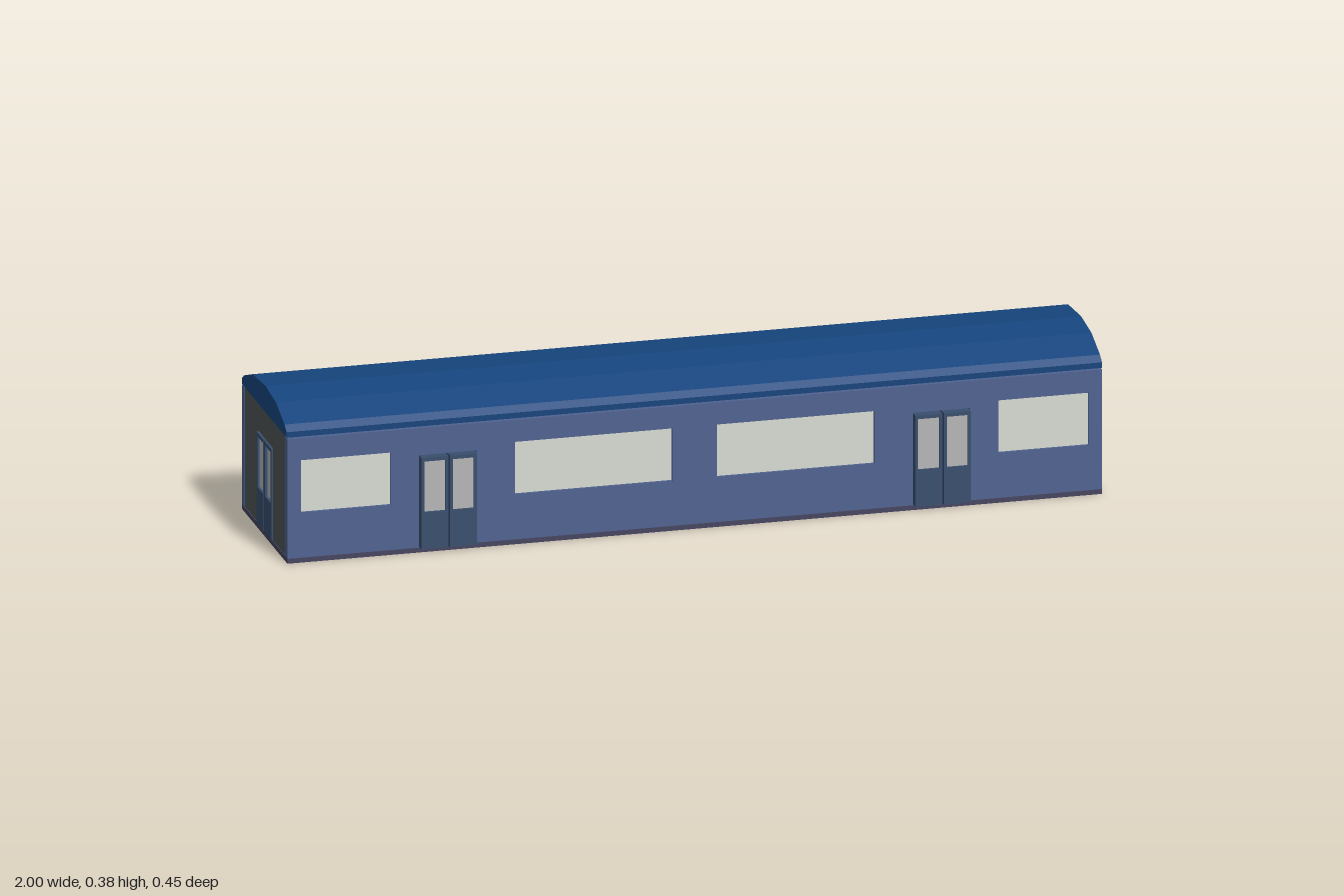
import * as THREE from 'three';

const mat = (color) => new THREE.MeshStandardMaterial({ color, flatShading: true });
const WALL = mat(0x4f6390), DOOR = mat(0x384e6e), ROOF = mat(0x16457e), END = mat(0x4f5656);
const FLOOR = mat(0x46445f), GLASS = mat(0xd8dcd3), DOORGLASS = mat(0xb6b6b6), SEAL = mat(0x202b48);

const FLOOR_TOP = 0.012, WALL_TOP = 0.311, DOOR_TOP = 0.243;

function mesh(name, geometry, material, parent) {
  const m = new THREE.Mesh(geometry, material);
  m.name = name;
  parent.add(m);
  return m;
}

function box(name, x0, x1, y0, y1, z0, z1, material, parent) {
  const m = mesh(name, new THREE.BoxGeometry(x1 - x0, y1 - y0, z1 - z0), material, parent);
  m.position.set((x0 + x1) / 2, (y0 + y1) / 2, (z0 + z1) / 2);
  return m;
}

function rectPath(x0, x1, y0, y1) {
  return new THREE.Path([[x0, y0], [x0, y1], [x1, y1], [x1, y0]].map((p) => new THREE.Vector2(...p)));
}

// Upright panel in the xy plane with doorway notches (centres) and window holes
function panel(halfWidth, y0, y1, doorways, holes, depth) {
  const s = new THREE.Shape();
  s.moveTo(-halfWidth, y0);
  for (const c of doorways) {
    s.lineTo(c - 0.07, y0);
    s.lineTo(c - 0.07, DOOR_TOP);
    s.lineTo(c + 0.07, DOOR_TOP);
    s.lineTo(c + 0.07, y0);
  }
  s.lineTo(halfWidth, y0);
  s.lineTo(halfWidth, y1);
  s.lineTo(-halfWidth, y1);
  s.closePath();
  for (const h of holes) s.holes.push(rectPath(...h));
  return new THREE.ExtrudeGeometry(s, { depth, bevelEnabled: false });
}

// Two-leaf door facing +z, with its inner face on z = 0
function doubleDoor(name, depth) {
  const g = new THREE.Group();
  g.name = name;
  for (const side of [-1, 1]) {
    const leaf = mesh('doorLeaf', panel(0.033, FLOOR_TOP, 0.24, [], [[-0.026, 0.026, 0.104, 0.231]], depth), DOOR, g);
    leaf.position.x = side * 0.035;
    const c = side * 0.035;
    box('doorWindow', c - 0.027, c + 0.027, 0.103, 0.232, 0.006, depth - 0.006, DOORGLASS, g);
  }
  box('doorSeal', -0.0025, 0.0025, FLOOR_TOP, 0.24, 0.003, depth - 0.004, SEAL, g);
  return g;
}

// Long wall with four windows and two double doors, facing +z
function sideWall(name) {
  const g = new THREE.Group();
  g.name = name;
  const windows = [[-0.965, -0.745], [-0.44, -0.055], [0.055, 0.44], [0.745, 0.965]];
  const holes = windows.map(([a, b]) => [a, b, 0.125, 0.256]);
  const wall = mesh('wallPanel', panel(0.998, FLOOR_TOP, WALL_TOP, [-0.605, 0.605], holes, 0.022), WALL, g);
  wall.position.z = 0.187;
  for (const [a, b] of windows) box('window', a - 0.001, b + 0.001, 0.124, 0.257, 0.193, 0.202, GLASS, g);
  for (const x of [-0.605, 0.605]) {
    const door = doubleDoor('sideDoor', 0.03);
    door.position.set(x, 0, 0.193);
    g.add(door);
  }
  return g;
}

export function createModel() {
  const car = new THREE.Group();
  car.name = 'railCarriage';

  box('floor', -0.998, 0.998, 0, FLOOR_TOP, -0.209, 0.209, FLOOR, car);

  const front = sideWall('frontWall');
  const back = sideWall('backWall');
  back.rotation.y = Math.PI;
  car.add(front, back);

  // End walls, each with a doorway; only the right end has a door fitted
  for (const side of [-1, 1]) {
    const end = new THREE.Group();
    end.name = side < 0 ? 'rightEnd' : 'leftEnd';
    const wall = mesh('endWall', panel(0.187, FLOOR_TOP, WALL_TOP, [0], [], 0.02), END, end);
    wall.position.z = 0.976;
    if (side < 0) {
      const door = doubleDoor('endDoor', 0.022);
      door.position.z = 0.978;
      end.add(door);
    }
    end.rotation.y = side * Math.PI / 2;
    car.add(end);
  }

  // Faceted arched roof running the full length
  const half = [[0.206, 0.314], [0.206, 0.328], [0.187, 0.341], [0.108, 0.37]];
  const profile = [...half, [0.012, 0.38], ...half.map(([z, y]) => [-z, y]).reverse()];
  const roofShape = new THREE.Shape(profile.map(([z, y]) => new THREE.Vector2(-z, y)));
  const roofGeometry = new THREE.ExtrudeGeometry(roofShape, { depth: 1.998, bevelEnabled: false });
  roofGeometry.translate(0, 0, -0.999);
  roofGeometry.rotateY(Math.PI / 2);
  mesh('roof', roofGeometry, ROOF, car);

  return car;
}
